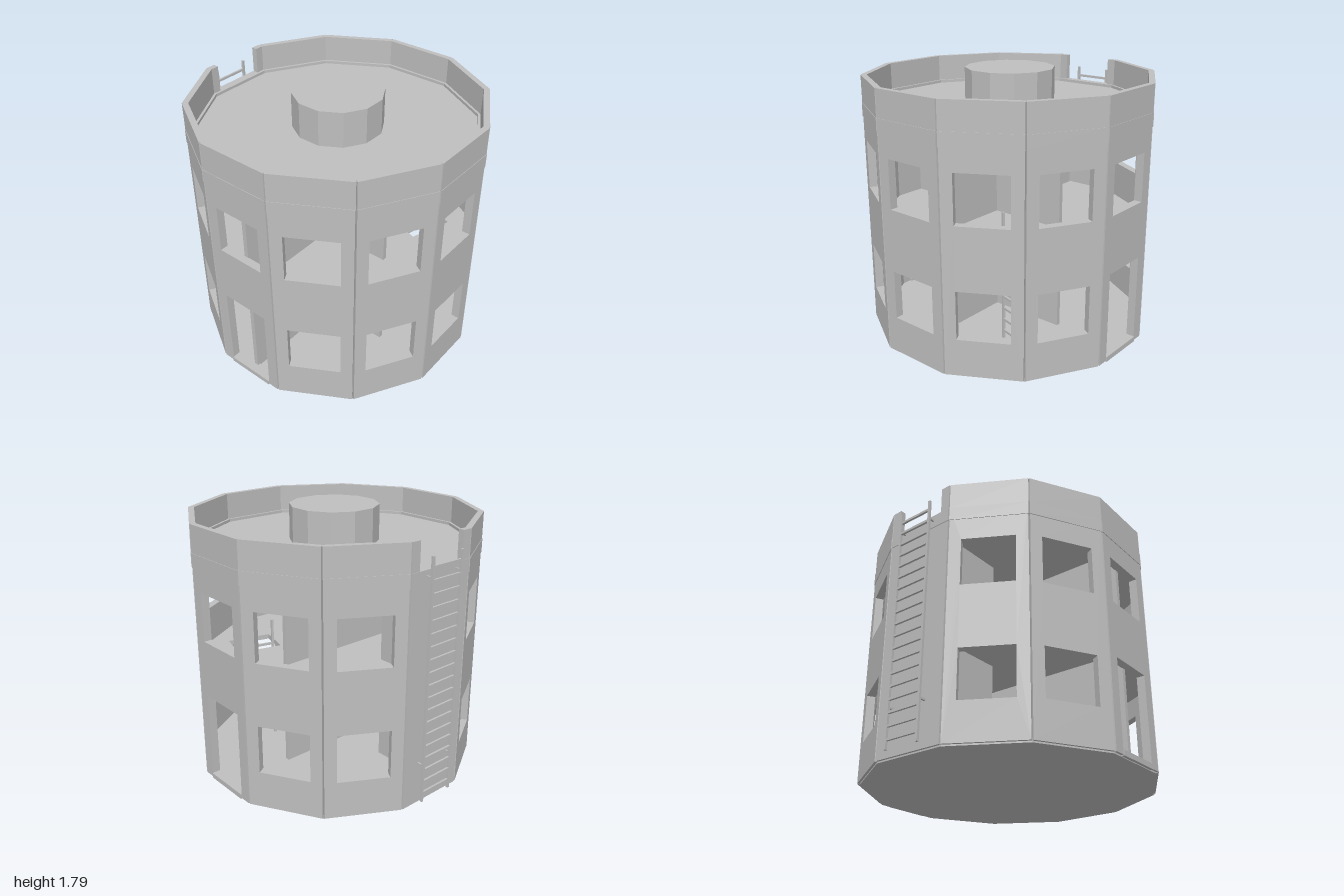
import * as THREE from 'three';

const SIDES = 12, STEP = Math.PI / 6, APOTHEM = 0.947, WALL = 0.055, HALF = 0.248;
const grey = new THREE.MeshStandardMaterial({ color: 0xbfbfbf });
grey.name = 'concrete grey';

function add(parent, name, geometry, x = 0, y = 0, z = 0) {
  const m = new THREE.Mesh(geometry, grey);
  m.name = name;
  m.position.set(x, y, z);
  parent.add(m);
  return m;
}

// Box given by its lower and upper corners
function block(parent, name, x0, x1, y0, y1, z0, z1) {
  return add(parent, name, new THREE.BoxGeometry(x1 - x0, y1 - y0, z1 - z0),
    (x0 + x1) / 2, (y0 + y1) / 2, (z0 + z1) / 2);
}

function rect(path, x0, x1, y0, y1) {
  path.moveTo(x0, y0);
  path.lineTo(x1, y0);
  path.lineTo(x1, y1);
  path.lineTo(x0, y1);
  path.closePath();
  return path;
}

// Twelve-sided floor plate with an optional rectangular hatch
function slab(parent, name, radius, y0, y1, hatch) {
  const s = new THREE.Shape();
  for (let i = 0; i < SIDES; i++) {
    const x = radius * Math.cos(i * STEP), y = radius * Math.sin(i * STEP);
    if (i) s.lineTo(x, y); else s.moveTo(x, y);
  }
  s.closePath();
  if (hatch) s.holes.push(rect(new THREE.Path(), ...hatch));
  const g = new THREE.ExtrudeGeometry(s, { depth: y1 - y0, bevelEnabled: false });
  g.rotateX(-Math.PI / 2);
  return add(parent, name, g, 0, y0, 0);
}

// Wall panel with its openings, outer face at the apothem
function wallPanel(parent, openings) {
  const s = rect(new THREE.Shape(), -HALF, HALF, 0.01, 1.57);
  for (const [y0, y1] of openings) s.holes.push(rect(new THREE.Path(), -0.17, 0.17, y0, y1));
  const g = new THREE.ExtrudeGeometry(s, { depth: WALL, bevelEnabled: false });
  add(parent, 'wallPanel', g, 0, 0, APOTHEM - WALL);
}

// Ladder centred on x = 0, facing z
function ladder(parent, name, y0, y1, lastRung) {
  const l = new THREE.Group();
  l.name = name;
  for (const s of [-1, 1]) block(l, 'ladderRail', s * 0.125 - 0.008, s * 0.125 + 0.008, y0, y1, -0.008, 0.008);
  for (let y = y0 + 0.06; y < lastRung; y += 0.083) {
    block(l, 'ladderRung', -0.125, 0.125, y - 0.008, y + 0.008, -0.007, 0.007);
  }
  parent.add(l);
  return l;
}

export function createModel() {
  const model = new THREE.Group();
  model.name = 'roundTower';
  const tower = new THREE.Group();
  tower.name = 'tower';
  tower.position.z = 0.004;
  model.add(tower);

  // Outer ring: doors on two opposite sides, the ladder on a closed one
  const upper = [1.005, 1.33], lower = [0.26, 0.585], door = [0.03, 0.62];
  for (let i = 0; i < SIDES; i++) {
    const side = new THREE.Group();
    side.name = 'side';
    side.rotation.y = Math.PI / 2 - (i + 0.5) * STEP;
    tower.add(side);
    const isDoor = i === 5 || i === 11, isLadder = i === 8;
    wallPanel(side, isLadder ? [] : [isDoor ? door : lower, upper]);
    block(side, 'roofBand', -0.25, 0.25, 1.48, 1.57, APOTHEM - 0.03, APOTHEM + 0.004);
    const top = [1.57, 1.752, APOTHEM - 0.038, APOTHEM + 0.001];
    if (isLadder) {
      block(side, 'parapetEnd', -0.25, -0.185, ...top);
      block(side, 'parapetEnd', 0.185, 0.25, ...top);
      const l = ladder(side, 'outerLadder', 0.04, 1.66, 1.6);
      l.position.z = 0.992;
      for (const s of [-1, 1]) for (const y of [0.3, 1.53]) {
        block(side, 'ladderBracket', s * 0.125 - 0.006, s * 0.125 + 0.006, y - 0.006, y + 0.006, 0.94, 0.99);
      }
    } else {
      block(side, 'parapet', -0.25, 0.25, ...top);
    }
    if (isDoor) block(side, 'doorSill', -0.17, 0.17, 0.005, 0.04, APOTHEM - 0.07, APOTHEM + 0.006);
  }

  // Floors, roof and the drum on the roof
  slab(tower, 'groundFloor', 0.965, 0, 0.025);
  slab(tower, 'upperFloor', 0.94, 0.72, 0.755, [0.32, 0.63, -0.46, -0.22]);
  slab(tower, 'roof', 0.94, 1.47, 1.55);
  const drum = new THREE.CylinderGeometry(0.3, 0.3, 0.25, SIDES).toNonIndexed();
  drum.computeVertexNormals();
  add(tower, 'roofDrum', drum, 0, 1.667, 0);

  // Inner ladder up through the hatch
  ladder(tower, 'innerLadder', 0.025, 0.93, 0.75).position.set(0.475, 0, 0.3);

  // Partition walls on both storeys
  for (const [y0, y1] of [[0.025, 0.72], [0.755, 1.47]]) {
    const rooms = new THREE.Group();
    rooms.name = 'partitions';
    rooms.rotation.y = STEP / 2;
    tower.add(rooms);
    block(rooms, 'longPartition', -0.895, 0.44, y0, y1, -0.015, 0.015);
    block(rooms, 'frontPartition', -0.14, -0.11, y0, y1, 0.015, 0.5);
    block(rooms, 'backPartition', -0.14, -0.11, y0, y1, -0.88, -0.36);
  }
  return model;
}
